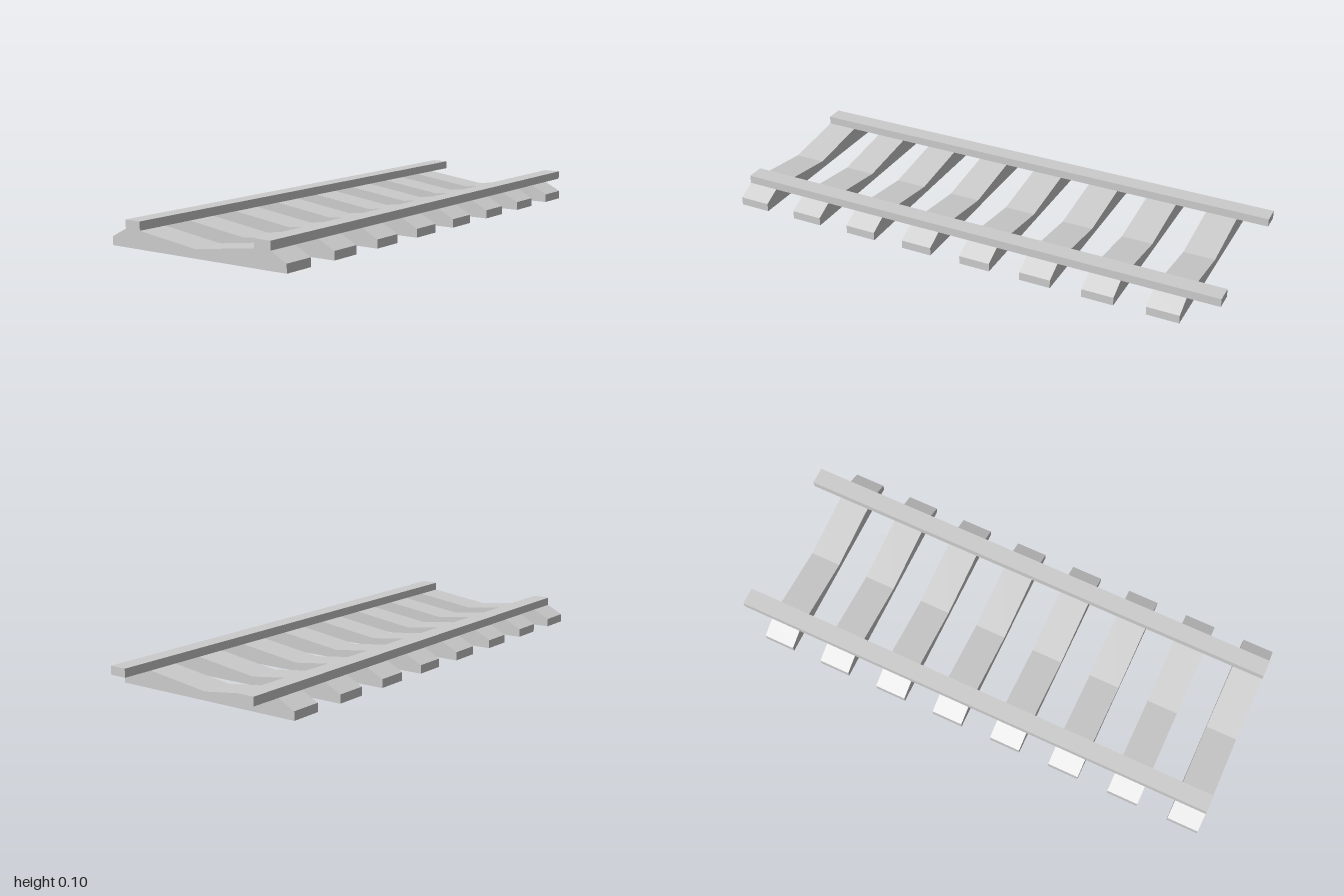
import * as THREE from 'three';

const SLEEPERS = 8, PITCH = 0.25, DEPTH = 0.125;
const RAIL_IN = 0.263, RAIL_OUT = 0.333, SEAT = 0.067, TOP = 0.1, LOW = 0.033, HALF = 0.4;

const solid = new THREE.MeshStandardMaterial({ color: 0xcccccc, flatShading: true });
const shell = new THREE.MeshStandardMaterial({ color: 0xcccccc, flatShading: true, side: THREE.DoubleSide });

// Upper outline of a sleeper, from -x to +x
const outline = [
  [-HALF, 0], [-HALF, LOW], [-RAIL_OUT, SEAT], [-RAIL_IN, SEAT], [0, LOW],
  [RAIL_IN, SEAT], [RAIL_OUT, SEAT], [HALF, LOW], [HALF, 0],
];

// Sweeps the outline along z to make the ends and top, leaving the underside open
function coverGeometry() {
  const pos = [], h = DEPTH / 2;
  for (let i = 0; i < outline.length - 1; i++) {
    const [px, py] = outline[i], [qx, qy] = outline[i + 1];
    const a = [px, py, h], b = [qx, qy, h], c = [qx, qy, -h], d = [px, py, -h];
    pos.push(...a, ...b, ...c, ...a, ...c, ...d);
  }
  const g = new THREE.BufferGeometry();
  g.setAttribute('position', new THREE.Float32BufferAttribute(pos, 3));
  g.computeVertexNormals();
  return g;
}

function addMesh(parent, name, geometry, material) {
  const mesh = new THREE.Mesh(geometry, material);
  mesh.name = name;
  parent.add(mesh);
  return mesh;
}

export function createModel() {
  const model = new THREE.Group();
  model.name = 'railTrack';

  // Hollow sleepers, open below, with a rib across the middle
  const cover = coverGeometry();
  const wall = new THREE.ShapeGeometry(new THREE.Shape(outline.map(([x, y]) => new THREE.Vector2(x, y))));
  const rib = new THREE.PlaneGeometry(DEPTH, LOW).rotateY(Math.PI / 2).translate(0, LOW / 2, 0);
  for (let i = 0; i < SLEEPERS; i++) {
    const sleeper = new THREE.Group();
    sleeper.name = 'sleeper';
    sleeper.position.z = 1 - DEPTH / 2 - i * PITCH;
    addMesh(sleeper, 'sleeperCover', cover, shell);
    addMesh(sleeper, 'sleeperFront', wall, shell).position.z = DEPTH / 2;
    const back = addMesh(sleeper, 'sleeperBack', wall, shell);
    back.position.z = -DEPTH / 2;
    back.rotation.y = Math.PI;
    addMesh(sleeper, 'sleeperRib', rib, shell);
    model.add(sleeper);
  }

  // Two rails resting on the sleeper seats
  const rail = new THREE.BoxGeometry(RAIL_OUT - RAIL_IN, TOP - SEAT, 2);
  for (const side of [1, -1]) {
    addMesh(model, side > 0 ? 'leftRail' : 'rightRail', rail, solid)
      .position.set(side * (RAIL_IN + RAIL_OUT) / 2, (SEAT + TOP) / 2, 0);
  }
  return model;
}
